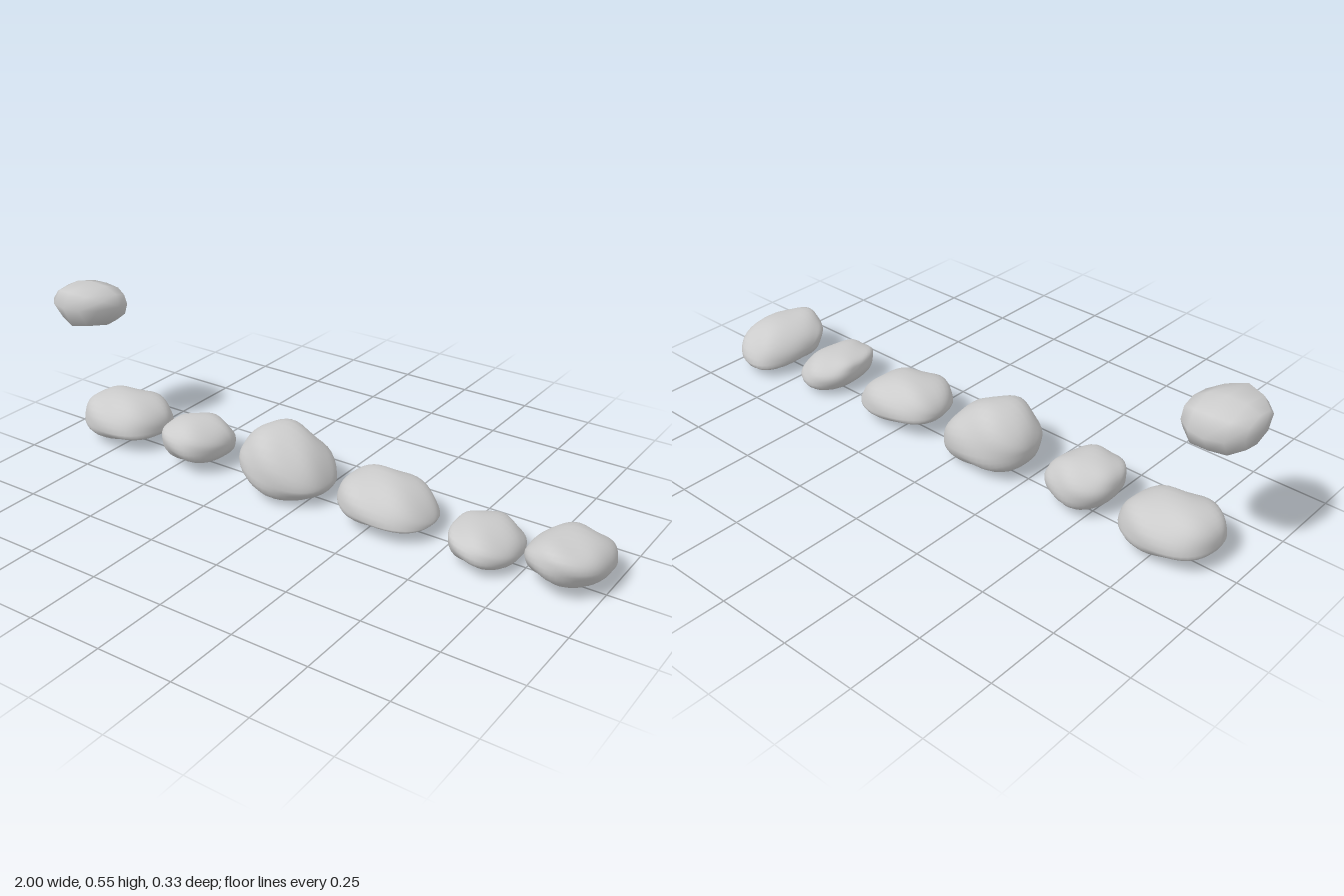
import * as THREE from 'three';
import { mergeVertices } from 'three/addons/utils/BufferGeometryUtils.js';

// Each rock: its extents, the height and depth of its left and right tips,
// where along x it peaks, how pointed its top is, and how far its front rim lifts.
const ROCKS = [
  { name: 'floatingRock', x: [-1, -0.78], y: [0.397, 0.553], z: [-0.08, 0.165],
    tipY: [0.49, 0.48], tipZ: [0.04, 0.01], peak: 0.5, point: 0.4, tilt: 0.015, rings: 6, sides: 8 },
  { name: 'rock1', x: [-0.92, -0.62], y: [0.02, 0.17], z: [-0.12, 0.145],
    tipY: [0.075, 0.07], tipZ: [0.03, -0.01], peak: 0.45, point: 0.4, tilt: 0 },
  { name: 'rock2', x: [-0.56, -0.34], y: [0.015, 0.165], z: [-0.09, 0.145],
    tipY: [0.1, 0.085], tipZ: [0.035, -0.01], peak: 0.45, point: 0.45, tilt: 0.01 },
  { name: 'rock3', x: [-0.253, 0.062], y: [0, 0.222], z: [-0.125, 0.148],
    tipY: [0.11, 0.06], tipZ: [0, 0], peak: 0.42, point: 0.7, tilt: 0 },
  { name: 'rock4', x: [0.12, 0.442], y: [0.028, 0.164], z: [-0.12, 0.145],
    tipY: [0.085, 0.05], tipZ: [-0.01, 0], peak: 0.42, point: 0.65, tilt: 0 },
  { name: 'rock5', x: [0.525, 0.735], y: [0.005, 0.125], z: [-0.115, 0.155],
    tipY: [0.08, 0.045], tipZ: [0.01, 0.02], peak: 0.35, point: 0.45, tilt: 0.012 },
  { name: 'rock6', x: [0.765, 1], y: [0.018, 0.163], z: [-0.165, 0.14],
    tipY: [0.08, 0.08], tipZ: [0.02, -0.02], peak: 0.5, point: 0.45, tilt: 0.032 },
];

const { lerp, clamp } = THREE.MathUtils;
const soften = (v) => Math.abs(v) ** 0.92;

// Arch from 0 at both ends to 1 in the middle; a lower power is blunter
const arch = (f, power) => (4 * f * (1 - f)) ** power;

// Reshape a sphere with its poles on the x axis into a lumpy boulder
function rockGeometry({ x, y, z, tipY, tipZ, peak, point, tilt, rings = 22, sides = 32 }, seed) {
  let geometry = new THREE.SphereGeometry(1, sides, rings).rotateZ(Math.PI / 2);
  geometry.deleteAttribute('uv');
  geometry.deleteAttribute('normal');
  geometry = mergeVertices(geometry);

  const p = geometry.attributes.position;
  const skew = Math.log(0.5) / Math.log(peak);
  for (let i = 0; i < p.count; i++) {
    const f = clamp((p.getX(i) + 1) / 2, 0, 1);
    const a = Math.atan2(p.getY(i), p.getZ(i)), c = Math.cos(a), s = Math.sin(a);
    const side = arch(f, 0.4), top = arch(f ** skew, point);
    const midY = lerp(...tipY, f), midZ = lerp(...tipZ, f);
    // Dents between the four main ridges
    const lump = 1 + 0.06 * Math.sin(2 * a) * Math.cos(9 * f + 3 * a + seed * 2.1);
    const rise = s > 0 ? (y[1] - midY) * top : (y[0] - midY) * side;
    const reach = ((c > 0 ? z[1] : z[0]) - midZ) * side;
    p.setXYZ(i,
      lerp(...x, f),
      midY + rise * soften(s) * lump + tilt * side * c * Math.abs(c),
      midZ + reach * soften(c) * lump);
  }
  geometry.computeVertexNormals();
  return geometry;
}

export function createModel() {
  const group = new THREE.Group();
  group.name = 'rocks';
  const material = new THREE.MeshStandardMaterial({ color: 0xcccccc });
  ROCKS.forEach((rock, i) => {
    const mesh = new THREE.Mesh(rockGeometry(rock, i), material);
    mesh.name = rock.name;
    group.add(mesh);
  });
  return group;
}
